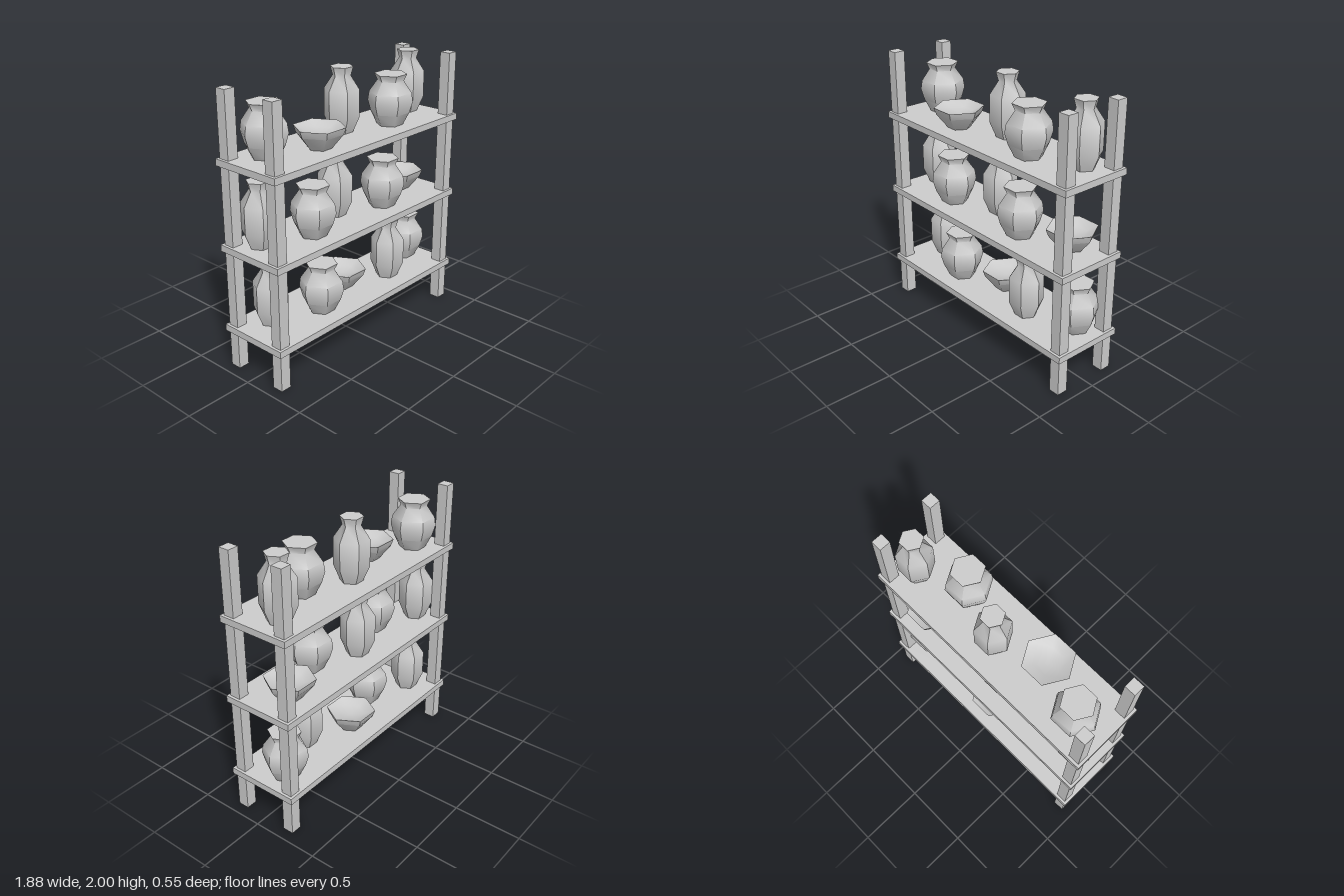
import * as THREE from 'three';
import { toCreasedNormals } from 'three/addons/utils/BufferGeometryUtils.js';

const clay = new THREE.MeshStandardMaterial({ color: 0xcccccc });
clay.name = 'plain grey';

// Six-sided turned vessel from [radius, height] pairs, corners pointing along x
function turned(profile, creaseDegrees) {
  const points = profile.map(([r, y]) => new THREE.Vector2(r, y));
  const lathe = new THREE.LatheGeometry(points, 6, Math.PI / 2);
  return toCreasedNormals(lathe, THREE.MathUtils.degToRad(creaseDegrees));
}

export function createModel() {
  const model = new THREE.Group();
  model.name = 'potteryShelf';

  const add = (name, geometry, x, y, z) => {
    const mesh = new THREE.Mesh(geometry, clay);
    mesh.name = name;
    mesh.position.set(x, y, z);
    model.add(mesh);
  };

  // Four corner posts
  const post = new THREE.BoxGeometry(0.082, 2, 0.082);
  for (const x of [-0.878, 0.878]) {
    for (const z of [-0.212, 0.212]) add('post', post, x, 1, z);
  }

  // Vessel shapes, each standing on y = 0
  const vessels = {
    vase: turned([[0, 0], [0.08, 0], [0.126, 0.11], [0.126, 0.305],
      [0.064, 0.4], [0.082, 0.463], [0, 0.463]], 50),
    pot: turned([[0, 0], [0.095, 0], [0.14, 0.09], [0.163, 0.17],
      [0.153, 0.235], [0.095, 0.32], [0.118, 0.368], [0, 0.368]], 55),
    bowl: turned([[0, 0], [0.083, 0], [0.163, 0.1], [0.181, 0.15],
      [0.1, 0.115], [0, 0.1]], 50),
  };

  // Shelves with their rows of vessels, alternating back and front
  const board = new THREE.BoxGeometry(1.878, 0.048, 0.545);
  const rows = [
    { y: 0.3, start: -0.7, items: ['vase', 'pot', 'bowl', 'vase', 'pot'] },
    { y: 0.907, start: -0.773, items: ['vase', 'pot', 'vase', 'pot', 'bowl'] },
    { y: 1.512, start: -0.7, items: ['pot', 'bowl', 'vase', 'pot', 'vase'] },
  ];
  for (const { y, start, items } of rows) {
    add('shelf', board, 0, y, 0);
    items.forEach((name, i) => {
      add(name, vessels[name], start + i * 0.364, y + 0.024, i % 2 ? 0.07 : -0.065);
    });
  }

  return model;
}
